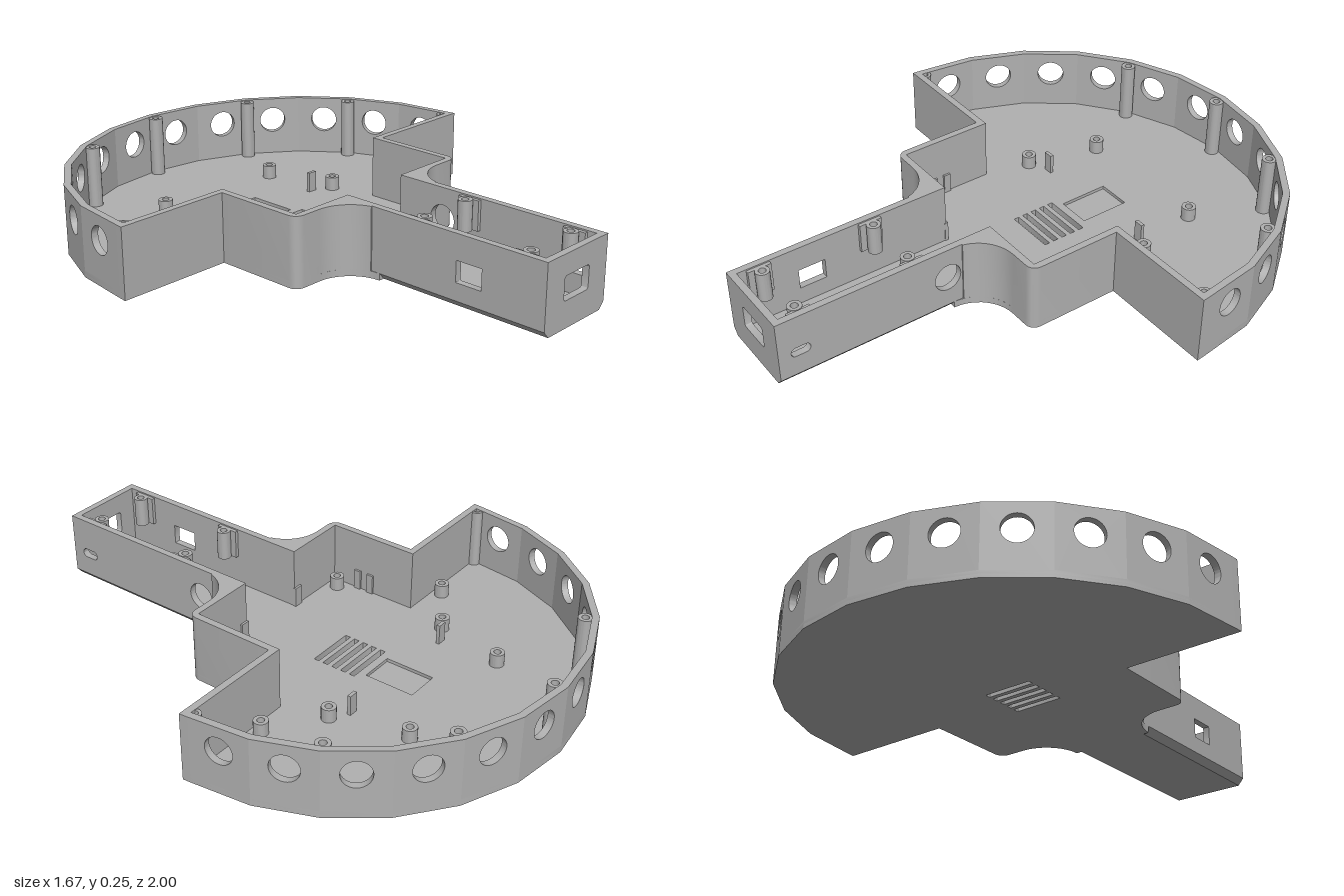
import * as THREE from 'three';
import { toCreasedNormals } from 'three/addons/utils/BufferGeometryUtils.js';

const H = 0.253, FLOOR = 0.025, T = 0.025, R = 0.83, CZ = -0.17;

export function createModel() {
  const root = new THREE.Group();
  const grey = new THREE.MeshStandardMaterial({ color: 0xb0b0b0 });
  grey.name = 'grey plastic';

  const add = (name, geo, parent = root) => {
    const m = new THREE.Mesh(toCreasedNormals(geo, 0.5), grey);
    m.name = name;
    parent.add(m);
    return m;
  };
  const box = (name, x0, x1, y0, y1, z0, z1) =>
    add(name, new THREE.BoxGeometry(Math.abs(x1 - x0), y1 - y0, z1 - z0)
      .translate((x0 + x1) / 2, (y0 + y1) / 2, (z0 + z1) / 2));

  // Closed rounded rectangle; also makes circles and stadium slots
  const roundRect = (cx, cy, w, h, r) => {
    const p = new THREE.Path(), a = w / 2 - r, b = h / 2 - r, q = Math.PI / 2;
    p.moveTo(cx + a + r, cy + b);
    [[a, b], [-a, b], [-a, -b], [a, -b]].forEach(([x, y], i) =>
      p.absarc(cx + x, cy + y, r, i * q, (i + 1) * q, false));
    p.closePath();
    return p;
  };

  // Horizontal slab from an outline of [x, z] points
  const slab = (name, pts, y0, y1, holes = []) => {
    const s = new THREE.Shape(pts.map(([x, z]) => new THREE.Vector2(x, -z)));
    s.holes.push(...holes);
    const g = new THREE.ExtrudeGeometry(s, { depth: y1 - y0, bevelEnabled: false, curveSegments: 6 });
    return add(name, g.rotateX(-Math.PI / 2).translate(0, y0, 0));
  };

  // Vertical wall whose outer face runs from a to b, with mitred ends
  const panel = (name, a, b, y0, holes, mitre = 0) => {
    const dx = b[0] - a[0], dz = b[1] - a[1], L = Math.hypot(dx, dz);
    const s = new THREE.Shape([[0, y0], [L, y0], [L, H], [0, H]].map(p => new THREE.Vector2(...p)));
    s.holes.push(...holes);
    const g = new THREE.ExtrudeGeometry(s, { depth: T, bevelEnabled: false, curveSegments: 8 }).translate(0, 0, -T);
    const p = g.attributes.position;
    for (let i = 0; i < p.count; i++) {
      if (p.getZ(i) > -T / 2) continue;
      if (p.getX(i) < 1e-5) p.setX(i, mitre);
      else if (p.getX(i) > L - 1e-5) p.setX(i, L - mitre);
    }
    const m = add(name, g);
    m.position.set(a[0], 0, a[1]);
    m.rotation.y = Math.atan2(-dz, dx);
  };

  // Curves shared by floor and walls
  const arc = (i) => [R * Math.cos(i * Math.PI / 12), CZ - R * Math.sin(i * Math.PI / 12)];
  const sweep = (cx, cz, r, a0, a1, n) => Array.from({ length: n + 1 }, (_, i) => {
    const a = a0 + (a1 - a0) * i / n;
    return [cx + r * Math.cos(a), cz + r * Math.sin(a)];
  });
  const shoulder = (end) => [[0.833, -0.14], [0.405, -0.14],
    ...sweep(0.37, 0.17, 0.035, 0, Math.PI / 2, 5),
    ...sweep(0.3, 0.345, 0.14, -Math.PI / 2, end, 9)];

  // Floor: pocket in the upper layer, vents through both
  const half = [6, 5, 4, 3, 2, 1, 0].map(arc).concat(shoulder(-Math.PI));
  half[0][0] = 0;
  const outline = half.concat(half.slice(1).reverse().map(([x, z]) => [-x, z]));
  const vents = () => [0, 1, 2, 3, 4].map(i => roundRect(0, 0.245 - i * 0.0375, 0.184, 0.02, 0.001));
  slab('floorBase', outline, 0, 0.013, vents());
  slab('floorTop', outline, 0.013, FLOOR, [...vents(), roundRect(0, 0.378, 0.125, 0.188, 0.001)]);

  // Handle floor with chamfered lower edges
  const trough = new THREE.Shape([[-0.138, 0], [0.138, 0], [0.16, FLOOR], [-0.16, FLOOR]]
    .map(p => new THREE.Vector2(...p)));
  add('handleFloor', new THREE.ExtrudeGeometry(trough, { depth: 0.655, bevelEnabled: false }).translate(0, 0, 0.345));

  // Faceted curved wall with one round port per facet
  const facet = 2 * R * Math.sin(Math.PI / 24);
  for (let i = 0; i < 12; i++)
    panel('curvedWall', arc(i), arc(i + 1), 0,
      [roundRect(facet / 2, 0.165, 0.1, 0.1, 0.05)], T * Math.tan(Math.PI / 24));

  // Shoulder walls, with the fillets into the handle
  const inner = [[0.135, 0.31], [0.135, 0.18], [0.38, 0.18], [0.38, -0.165], [0.805, -0.165], [0.805, -0.17], [0.83, -0.17]];
  for (const s of [1, -1])
    slab('shoulderWall', [...shoulder(-Math.PI + 0.2527), ...inner].map(([x, z]) => [s * x, z]), 0, H);

  // Handle walls with their openings
  const end = 1 - T;
  panel('handleLeftWall', [0.16, end], [0.16, 0.31], FLOOR, [
    roundRect(end - 0.92, 0.115, 0.07, 0.034, 0.0169),
    roundRect(end - 0.367, 0.14, 0.1, 0.1, 0.05)]);
  panel('handleRightWall', [-0.16, 0.31], [-0.16, end], FLOOR, [roundRect(0.4, 0.125, 0.1, 0.075, 0.002)]);
  panel('handleEndWall', [-0.16, 1], [0.16, 1], FLOOR, [roundRect(0.16, 0.137, 0.13, 0.084, 0.01)]);

  // Screw posts with blind bores
  const post = (name, x, z, y0, y1, r = 0.026) => add(name, new THREE.LatheGeometry(
    [[0, y0], [r, y0], [r, y1], [0.013, y1], [0.013, y1 - 0.035], [0, y1 - 0.035]]
      .map(p => new THREE.Vector2(...p)), 20)).position.set(x, 0, z);
  const TOP = H - 0.003;
  post('wallPost', 0, -0.955, 0.02, TOP);
  post('wallPost', 0.678, -0.565, 0.02, TOP);
  for (const s of [1, -1]) {
    post('wallPost', s * 0.39, -0.85, 0.02, TOP);
    post('cornerPost', s * 0.8, -0.172, 0.02, TOP, 0.024);
    for (const [x, z] of [[0.265, -0.6], [0.335, -0.33], [0.527, -0.203], [0.335, 0.135]])
      post('boardPost', s * x, z, 0.02, 0.075);

    // Handle lid posts hang from wall blocks
    for (const z of [0.485, 0.9]) {
      post('handlePost', s * 0.105, z, 0.14, TOP, 0.025);
      box('handlePostBlock', s * 0.122, s * 0.14, 0.14, TOP - 0.002, z - 0.042, z + 0.042);
    }

    // Board locating tabs and ribs
    box('boardTab', s * 0.245, s * 0.28, 0.02, 0.1, -0.377, -0.364);
    box('neckTab', s * 0.133, s * 0.168, 0.02, 0.1, 0.172, 0.185);
    for (const z of [0.015, 0.07])
      box('wallRib', s * 0.372, s * 0.385, 0.02, 0.1, z - 0.013, z + 0.013);
  }
  return root;
}
